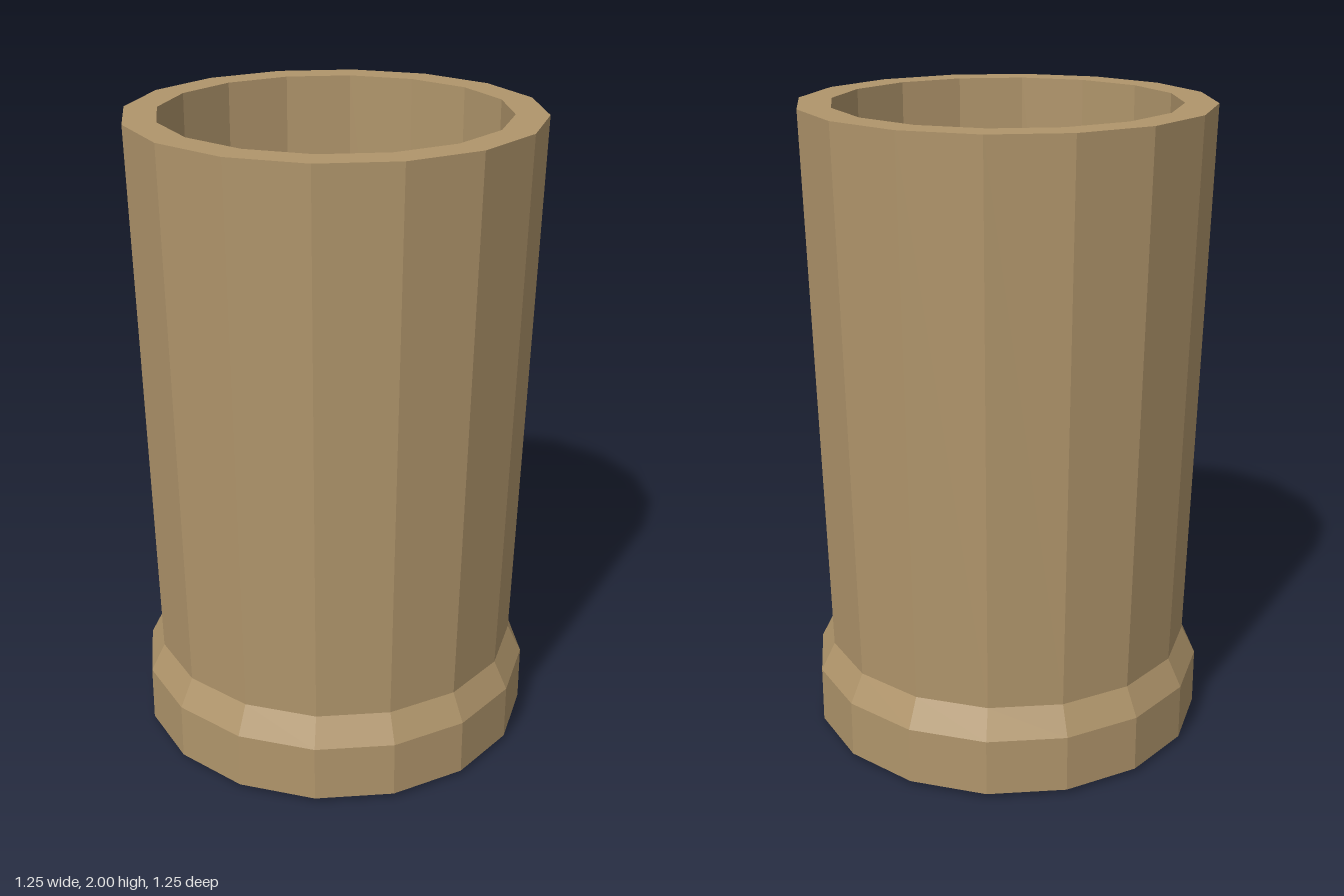
import * as THREE from 'three';

const SIDES = 16;

export function createModel() {
  const group = new THREE.Group();
  group.name = 'cup';
  const material = new THREE.MeshStandardMaterial({ color: 0xb0956b, flatShading: true });

  // Spins a [radius, height] profile into a faceted solid.
  const turned = (name, profile) => {
    const points = profile.map(([r, y]) => new THREE.Vector2(r, y));
    const mesh = new THREE.Mesh(new THREE.LatheGeometry(points, SIDES), material);
    mesh.name = name;
    group.add(mesh);
  };

  // Hollow body: underside, foot band, flared wall, rim, straight bore, floor
  turned('body', [
    [0, 0.015], [0.627, 0.015], [0.627, 0.195], [0.582, 0.285],
    [0.627, 2], [0.527, 2], [0.527, 0.12], [0, 0.12],
  ]);

  // Shallow bevelled pad under the foot
  turned('basePad', [[0, 0], [0.26, 0], [0.3, 0.015]]);

  return group;
}
